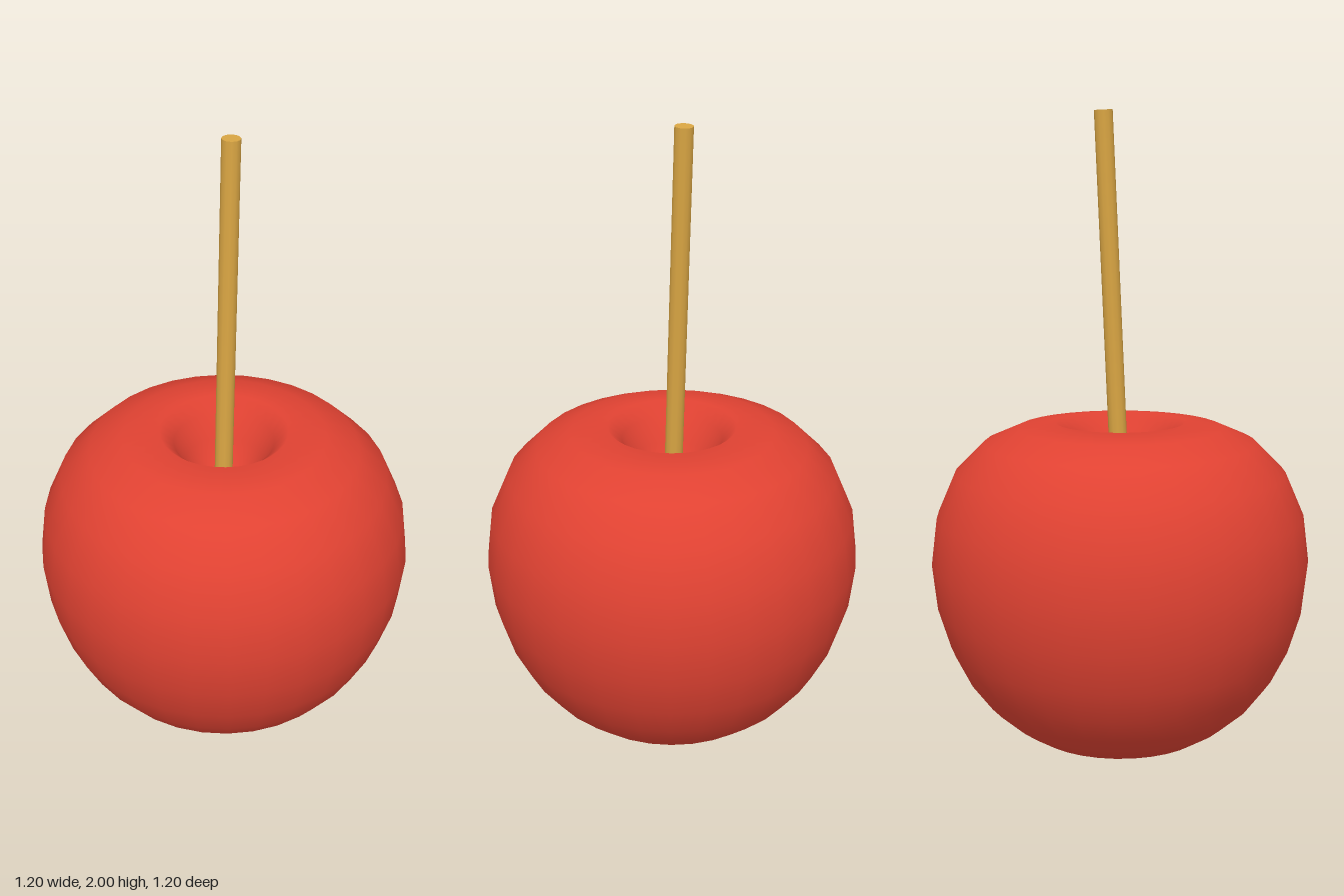
import * as THREE from 'three';

const red = new THREE.MeshStandardMaterial({ color: 0xe04232 });
red.name = 'candy red';
const wood = new THREE.MeshStandardMaterial({ color: 0xd9a543 });
wood.name = 'stick wood';

export function createModel() {
  const group = new THREE.Group();
  group.name = 'candyApple';

  // Apple profile, from the hollow underneath round to the stem dimple
  const profile = [
    [0, 0.1], [0.07, 0.085], [0.14, 0.04], [0.2, 0.004], [0.28, 0.01],
    [0.35, 0.053], [0.43, 0.122], [0.494, 0.205], [0.546, 0.307],
    [0.586, 0.434], [0.603, 0.58], [0.585, 0.73], [0.526, 0.868],
    [0.432, 0.963], [0.325, 1.01], [0.205, 1.027], [0.16, 0.985],
    [0.125, 0.91], [0.07, 0.82], [0, 0.785],
  ].map(([r, y]) => new THREE.Vector2(r, y));
  const sides = 32;
  const apple = new THREE.Mesh(new THREE.LatheGeometry(profile, sides, Math.PI / sides), red);
  apple.name = 'apple';
  group.add(apple);

  // Stick, leaning slightly backwards out of the dimple
  const length = 1.3;
  const tilt = 0.0435;
  const stickGeometry = new THREE.CylinderGeometry(0.029, 0.029, length, 12);
  const stick = new THREE.Mesh(stickGeometry, wood);
  stick.name = 'stick';
  stick.rotation.x = -tilt;
  stick.position.set(-0.003, 1.999 - length / 2, -0.052 + (length / 2) * tilt);
  group.add(stick);

  return group;
}
